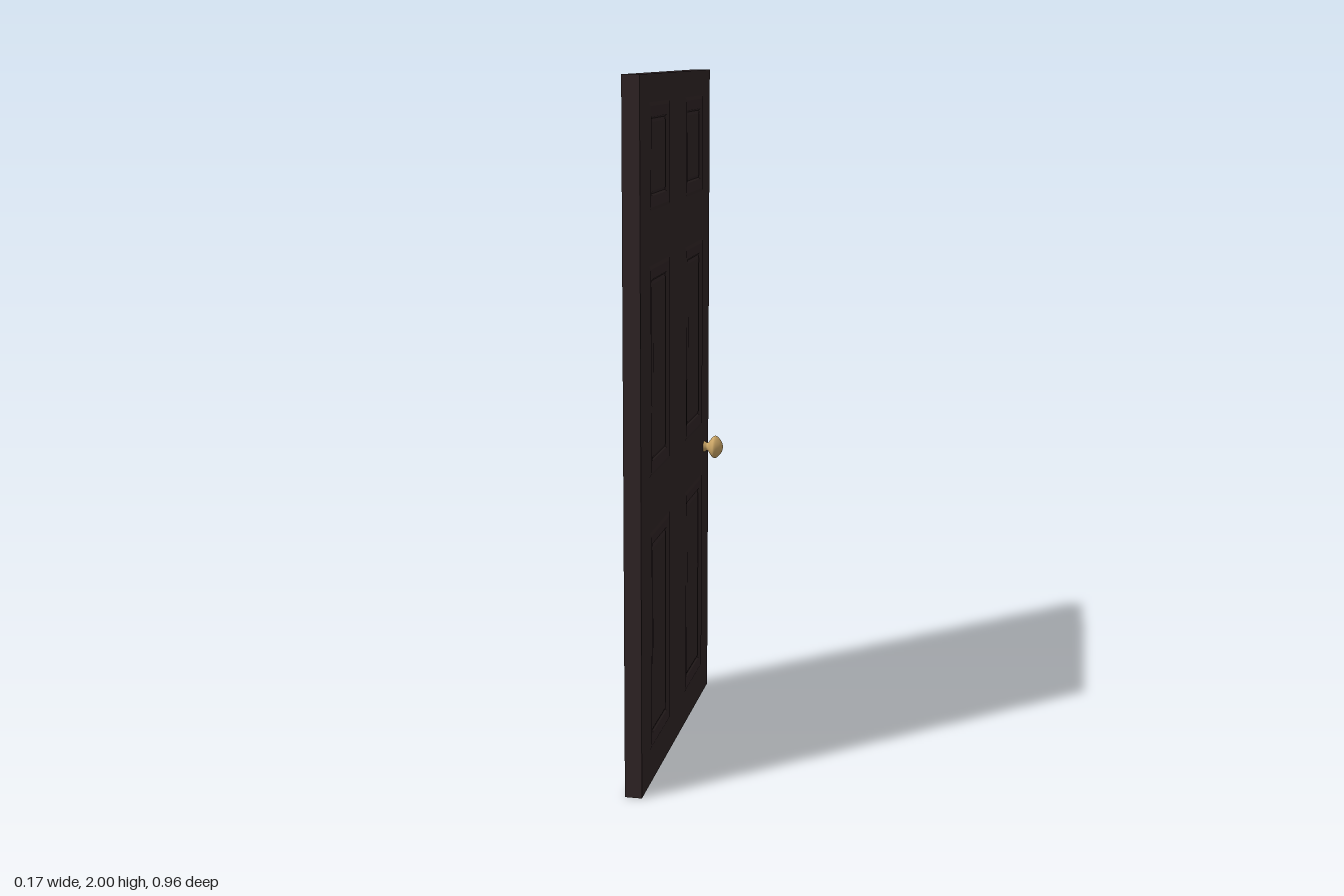
import * as THREE from 'three';

const HALF = 0.0245; // half the door thickness
const ROWS = [[0.10, 0.74], [0.90, 1.487], [1.635, 1.925]];
const COLUMN = [0.108, 0.372];

// Moulding profile: [inset from the opening, height from the door's middle plane]
const PROFILE = [[0, HALF], [0.01, 0.0272], [0.039, 0.0235], [0.044, 0.0195], [0.053, 0.0235]];

// Corners of a rectangle, counterclockwise
function corners([u0, u1], [v0, v1], inset = 0) {
  return [
    [u0 + inset, v0 + inset], [u1 - inset, v0 + inset],
    [u1 - inset, v1 - inset], [u0 + inset, v1 - inset],
  ];
}

// Mitred moulding around a flat field, facing +z
function panelGeometry(us, vs) {
  const points = [];
  const quad = (a, b, c, d) => points.push(...a, ...b, ...c, ...a, ...c, ...d);
  const loops = PROFILE.map(([inset, h]) => corners(us, vs, inset).map(([u, v]) => [u, v, h]));
  for (let k = 0; k < loops.length - 1; k++) {
    const a = loops[k], b = loops[k + 1];
    for (let i = 0; i < 4; i++) {
      const j = (i + 1) % 4;
      quad(a[i], a[j], b[j], b[i]);
    }
  }
  quad(...loops[loops.length - 1]);
  const geometry = new THREE.BufferGeometry();
  geometry.setAttribute('position', new THREE.Float32BufferAttribute(points, 3));
  geometry.computeVertexNormals();
  return geometry;
}

export function createModel() {
  const door = new THREE.Group();
  door.name = 'door';
  const wood = new THREE.MeshStandardMaterial({ color: 0x2f2425 });
  wood.name = 'dark wood';
  const brass = new THREE.MeshStandardMaterial({ color: 0xcaa566 });
  brass.name = 'brass';

  const columns = [COLUMN, [-COLUMN[1], -COLUMN[0]]];
  const toVectors = (list) => list.map(([u, v]) => new THREE.Vector2(u, v));

  // Slab with six openings
  const outline = new THREE.Shape(toVectors(corners([-0.479, 0.479], [0, 2])));
  for (const us of columns) {
    for (const vs of ROWS) outline.holes.push(new THREE.Path(toVectors(corners(us, vs)).reverse()));
  }
  const slabGeometry = new THREE.ExtrudeGeometry(outline, { depth: HALF * 2, bevelEnabled: false });
  slabGeometry.translate(0, 0, -HALF).rotateY(Math.PI / 2);
  const slab = new THREE.Mesh(slabGeometry, wood);
  slab.name = 'slab';
  door.add(slab);

  // Knob profile: radius and distance from the door face
  const knobProfile = new THREE.SplineCurve(toVectors([
    [0.018, 0], [0.016, 0.004], [0.0125, 0.01], [0.015, 0.015], [0.026, 0.023],
    [0.034, 0.031], [0.036, 0.037], [0.031, 0.045], [0.021, 0.054], [0.011, 0.059], [0, 0.0605],
  ])).getPoints(30);
  knobProfile[knobProfile.length - 1].x = 0;
  const knobGeometry = new THREE.LatheGeometry(knobProfile, 32);

  // Panels and knob on both faces
  for (const side of [1, -1]) {
    const face = new THREE.Group();
    face.name = side > 0 ? 'leftFace' : 'rightFace';
    for (const us of columns) {
      for (const vs of ROWS) {
        const panel = new THREE.Mesh(panelGeometry(us, vs), wood);
        panel.name = 'raisedPanel';
        panel.rotation.y = side * Math.PI / 2;
        face.add(panel);
      }
    }
    const knob = new THREE.Mesh(knobGeometry, brass);
    knob.name = 'knob';
    knob.rotation.z = -side * Math.PI / 2;
    knob.position.set(side * HALF, 0.82, -0.41);
    face.add(knob);
    door.add(face);
  }
  return door;
}
